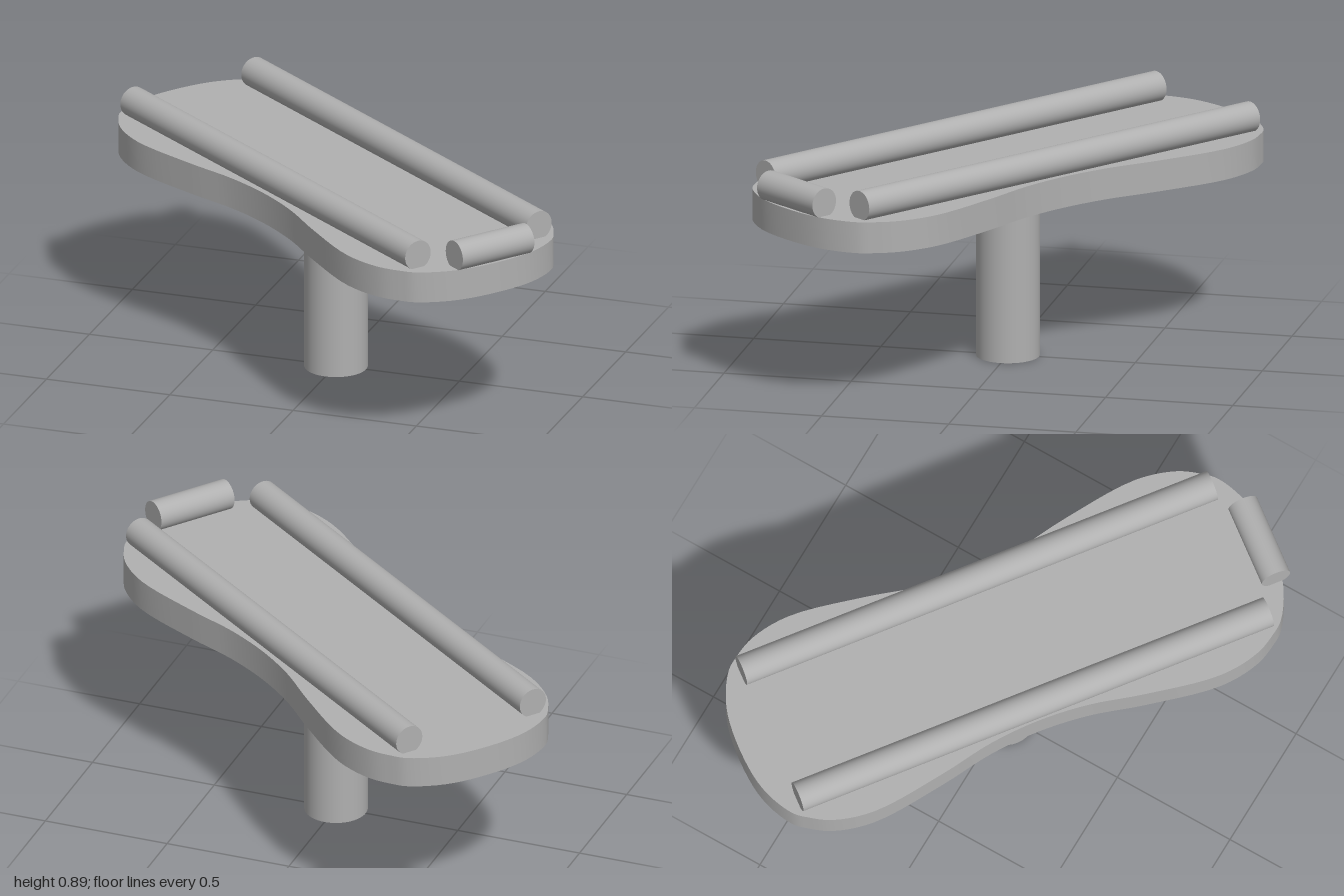
import * as THREE from 'three';
import { toCreasedNormals } from 'three/addons/utils/BufferGeometryUtils.js';

export function createModel() {
  const model = new THREE.Group();
  const grey = new THREE.MeshStandardMaterial({ color: 0xb0b0b0 });
  grey.name = 'grey';

  const add = (parent, name, geometry, x, y, z) => {
    const mesh = new THREE.Mesh(geometry, grey);
    mesh.name = name;
    mesh.position.set(x, y, z);
    parent.add(mesh);
    return mesh;
  };

  // Pedestal: column and mounting flange
  add(model, 'column', new THREE.CylinderGeometry(0.122, 0.122, 0.617, 64), 0, 0.3085, 0);
  add(model, 'flange', new THREE.CylinderGeometry(0.222, 0.222, 0.04, 64), 0, 0.637, 0);

  // Table top assembly, turned about the column
  const top = new THREE.Group();
  top.name = 'tableTop';
  top.rotation.y = -Math.atan2(0.6, 0.8);
  model.add(top);

  // Waisted board: one quarter of the outline, mirrored to all four
  const quarter = [[1.1, 0], [1.08, 0.18], [1.016, 0.312], [0.965, 0.355], [0.88, 0.402],
    [0.72, 0.43], [0.42, 0.39], [0.2, 0.346], [0, 0.332]];
  const half = [...quarter, ...quarter.slice(0, -1).reverse().map(([u, v]) => [-u, v])];
  const outline = [...half, ...half.slice(1, -1).reverse().map(([u, v]) => [u, -v])];
  const curve = new THREE.CatmullRomCurve3(
    outline.map(([u, v]) => new THREE.Vector3(u, v, 0)), true, 'centripetal');
  const shape = new THREE.Shape(
    curve.getPoints(160).slice(0, -1).map(p => new THREE.Vector2(p.x, p.y)));
  const board = new THREE.ExtrudeGeometry(shape, { depth: 0.123, bevelEnabled: false });
  board.rotateX(-Math.PI / 2);
  add(top, 'board', toCreasedNormals(board, 0.6), 0, 0.657, 0);

  // Long side rails, slightly sunk into the board
  const r = 0.059, railY = 0.831;
  for (const side of [-1, 1]) {
    const rail = new THREE.CylinderGeometry(r, r, 1.954, 48).rotateZ(Math.PI / 2);
    add(top, side > 0 ? 'frontRail' : 'backRail', rail, 0, railY, side * 0.279);
  }

  // Short roll across one end
  const roll = new THREE.CylinderGeometry(r, r, 0.33, 48).rotateX(Math.PI / 2);
  add(top, 'endRoll', roll, 1.057, railY, 0);

  return model;
}
